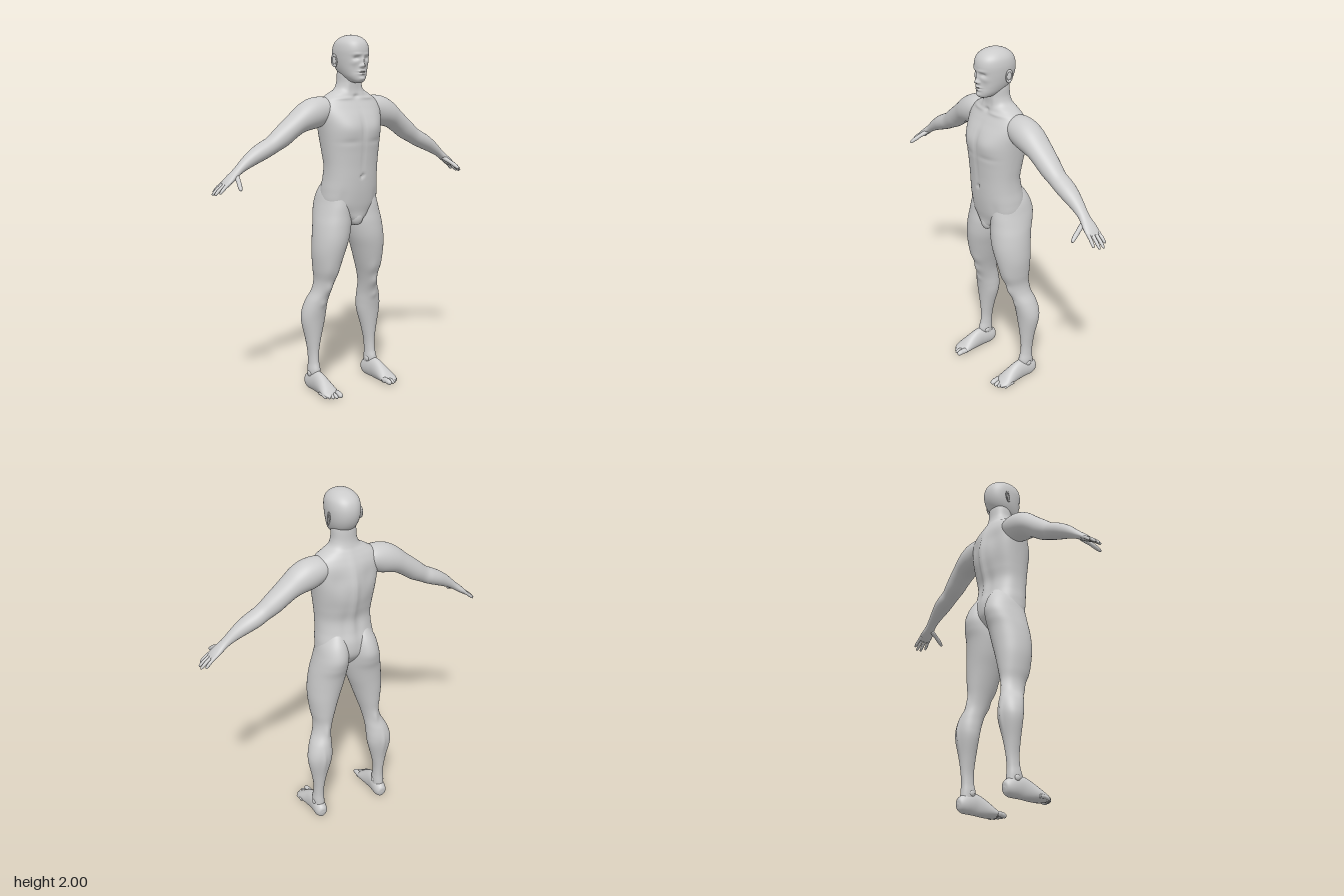
import * as THREE from 'three';

const material = new THREE.MeshStandardMaterial({ color: 0xcccccc });
const X = new THREE.Vector3(1, 0, 0), Z = new THREE.Vector3(0, 0, 1);

// Catmull-Rom interpolation of whole rows, t in 0..1
function sample(rows, t) {
  const n = rows.length - 1, f = Math.min(Math.max(t, 0), 1) * n;
  const i = Math.min(Math.floor(f), n - 1), u = f - i;
  const a = rows[Math.max(i - 1, 0)], b = rows[i], c = rows[i + 1], d = rows[Math.min(i + 2, n)];
  return b.map((_, k) => b[k] + 0.5 * u * (c[k] - a[k]
    + u * (2 * a[k] - 5 * b[k] + 4 * c[k] - d[k] + u * (3 * (b[k] - c[k]) + d[k] - a[k]))));
}

// Closed skin over rings; place(row, cos, sin, t) returns a point. Faces are turned outward.
function skin(name, rows, rings, seg, place) {
  const pos = [], idx = [];
  for (let i = 0; i <= rings; i++) {
    const t = i / rings, row = sample(rows, t);
    for (let j = 0; j < seg; j++) {
      const a = j / seg * Math.PI * 2;
      pos.push(...place(row, Math.cos(a), Math.sin(a), t));
    }
  }
  for (const start of [0, rings * seg]) {
    const mid = [0, 0, 0];
    for (let j = 0; j < seg; j++) for (let k = 0; k < 3; k++) mid[k] += pos[(start + j) * 3 + k] / seg;
    pos.push(...mid);
  }
  const first = (rings + 1) * seg;
  for (let j = 0; j < seg; j++) {
    const k = (j + 1) % seg;
    for (let i = 0; i < rings; i++) {
      const p = i * seg, q = p + seg;
      idx.push(p + j, q + j, p + k, p + k, q + j, q + k);
    }
    idx.push(first, j, k, first + 1, rings * seg + k, rings * seg + j);
  }
  const at = i => new THREE.Vector3().fromArray(pos, i * 3);
  let volume = 0;
  for (let i = 0; i < idx.length; i += 3) volume += at(idx[i]).dot(at(idx[i + 1]).cross(at(idx[i + 2])));
  if (volume < 0) idx.reverse();
  const geo = new THREE.BufferGeometry();
  geo.setAttribute('position', new THREE.Float32BufferAttribute(pos, 3));
  geo.setIndex(idx);
  geo.computeVertexNormals();
  const mesh = new THREE.Mesh(geo, material);
  mesh.name = name;
  return mesh;
}

// Upright form, rows [y, centreX, halfWidth, zFront, zBack]; bumps [x, y, sizeX, sizeY, push]
function upright(name, rows, rings, seg, { side = 1, power = 1, front = [], back = [] } = {}) {
  const round = v => Math.sign(v) * Math.abs(v) ** power;
  return skin(name, rows, rings, seg, ([y, cx, w, zf, zb], c, s) => {
    const x = cx + w * round(c);
    let z = (zf + zb) / 2 + (zf - zb) / 2 * round(s);
    for (const [bx, by, sx, sy, push] of s > 0 ? front : back) {
      const dx = (Math.abs(x) - bx) / sx, dy = (y - by) / sy;
      z += push * s * Math.exp(-dx * dx - dy * dy);
    }
    return [x * side, y, z];
  });
}

// Form along a path, rows [x, y, z, thickness, breadth]; breadth runs along axis
function limb(name, rows, rings, seg, side, axis) {
  return skin(name, rows, rings, seg, (row, c, s, t) => {
    const p = new THREE.Vector3(...row), a = sample(rows, t - 0.01), b = sample(rows, t + 0.01);
    const dir = new THREE.Vector3(b[0] - a[0], b[1] - a[1], b[2] - a[2]).normalize();
    const across = axis.clone().addScaledVector(dir, -axis.dot(dir)).normalize();
    const up = new THREE.Vector3().crossVectors(across, dir);
    p.addScaledVector(up, row[3] * c).addScaledVector(across, row[4] * s);
    return [p.x * side, Math.max(p.y, 0), p.z];
  });
}

// Finger or toe: rounded, slightly knuckled
function digit(name, from, to, r, side, axis, arch = 0) {
  const shape = [[0, 1], [0.25, 1.05], [0.45, 0.92], [0.62, 0.98], [0.82, 0.85], [0.95, 0.6], [1, 0.08]];
  const rows = shape.map(([t, k]) => [...from.map((v, i) =>
    v + (to[i] - v) * t + (i === 1 ? arch * Math.sin(t * Math.PI) : 0)), r * k, r * k]);
  return limb(name, rows, 18, 14, side, axis);
}

function ball(name, x, y, z, sx, sy, sz) {
  const mesh = new THREE.Mesh(new THREE.SphereGeometry(1, 28, 20), material);
  mesh.position.set(x, y, z);
  mesh.scale.set(sx, sy, sz);
  mesh.name = name;
  return mesh;
}

function buildHead() {
  const head = new THREE.Group();
  head.name = 'head';
  head.add(upright('skull', [
    [1.742, 0, 0.012, 0.098, 0.05], [1.752, 0, 0.036, 0.112, 0.01], [1.775, 0, 0.057, 0.117, -0.035],
    [1.805, 0, 0.071, 0.118, -0.072], [1.84, 0, 0.081, 0.117, -0.094], [1.88, 0, 0.087, 0.121, -0.105],
    [1.92, 0, 0.088, 0.123, -0.104], [1.955, 0, 0.08, 0.113, -0.09], [1.98, 0, 0.06, 0.088, -0.062],
    [1.995, 0, 0.032, 0.052, -0.025], [2, 0, 0.003, 0.015, 0.008],
  ], 110, 112, {
    power: 0.92,
    front: [
      [0, 1.836, 0.011, 0.011, 0.02], [0, 1.858, 0.009, 0.022, 0.011], [0.013, 1.832, 0.006, 0.006, 0.007],
      [0.034, 1.876, 0.017, 0.011, -0.012], [0.03, 1.896, 0.026, 0.008, 0.004], [0.05, 1.85, 0.018, 0.014, 0.004],
      [0, 1.806, 0.02, 0.005, 0.01], [0, 1.791, 0.018, 0.006, 0.009], [0, 1.799, 0.024, 0.0025, -0.004],
      [0, 1.765, 0.02, 0.011, 0.008], [0.042, 1.81, 0.014, 0.025, -0.004],
    ],
  }));
  for (const side of [-1, 1]) {
    head.add(ball('eye', side * 0.033, 1.875, 0.09, 0.012, 0.008, 0.012));
    const ear = new THREE.Group();
    ear.name = 'ear';
    const rim = new THREE.Mesh(new THREE.TorusGeometry(0.02, 0.005, 10, 32), material);
    rim.scale.set(0.8, 1.45, 1);
    rim.name = 'earRim';
    ear.add(rim, ball('earBowl', 0, 0, -0.004, 0.016, 0.028, 0.005), ball('earLobe', 0.004, -0.027, 0, 0.009, 0.01, 0.006));
    ear.position.set(side * 0.092, 1.862, -0.016);
    ear.rotation.set(-0.12, side * (Math.PI / 2 - 0.35), 0);
    head.add(ear);
  }
  return head;
}

function buildTorso() {
  return upright('torso', [
    [0.95, 0, 0.012, 0.05, 0.0], [0.965, 0, 0.035, 0.08, -0.03], [0.99, 0, 0.06, 0.092, -0.06],
    [1.03, 0, 0.12, 0.096, -0.1], [1.08, 0, 0.166, 0.106, -0.132], [1.15, 0, 0.168, 0.116, -0.135],
    [1.22, 0, 0.161, 0.122, -0.118], [1.29, 0, 0.16, 0.126, -0.108], [1.36, 0, 0.167, 0.132, -0.122],
    [1.43, 0, 0.176, 0.138, -0.137], [1.5, 0, 0.186, 0.135, -0.143], [1.56, 0, 0.195, 0.118, -0.135],
    [1.61, 0, 0.197, 0.092, -0.122], [1.65, 0, 0.175, 0.07, -0.105], [1.68, 0, 0.13, 0.06, -0.09],
    [1.705, 0, 0.087, 0.055, -0.078], [1.74, 0, 0.07, 0.055, -0.07], [1.79, 0, 0.066, 0.058, -0.068],
    [1.83, 0, 0.06, 0.05, -0.065],
  ], 130, 96, {
    power: 0.9,
    front: [
      [0.085, 1.5, 0.07, 0.06, 0.013], [0.09, 1.425, 0.06, 0.014, -0.004], [0, 1.5, 0.012, 0.08, -0.005],
      [0, 1.235, 0.009, 0.01, -0.014], [0, 1.34, 0.01, 0.09, -0.004], [0.085, 1.66, 0.06, 0.009, 0.006],
      [0, 1.668, 0.017, 0.012, -0.01], [0.11, 1.1, 0.02, 0.05, -0.005], [0.045, 1.72, 0.014, 0.04, 0.004],
    ],
    back: [
      [0, 1.4, 0.02, 0.2, 0.014], [0.09, 1.53, 0.05, 0.07, -0.013],
      [0.045, 1.25, 0.025, 0.08, -0.005], [0.11, 1.4, 0.04, 0.07, -0.005],
    ],
  });
}

function buildLeg(side) {
  const leg = new THREE.Group();
  leg.name = side > 0 ? 'leftLeg' : 'rightLeg';
  leg.add(upright('thighAndCalf', [
    [0.05, 0.204, 0.03, -0.035, -0.115], [0.11, 0.204, 0.033, -0.022, -0.114], [0.16, 0.203, 0.029, -0.034, -0.112],
    [0.22, 0.202, 0.031, -0.038, -0.115], [0.3, 0.2, 0.046, -0.033, -0.126], [0.4, 0.197, 0.07, -0.023, -0.145],
    [0.46, 0.193, 0.072, -0.013, -0.148], [0.52, 0.183, 0.063, 0.0, -0.136], [0.58, 0.165, 0.051, 0.018, -0.114],
    [0.64, 0.153, 0.053, 0.038, -0.108], [0.71, 0.147, 0.069, 0.066, -0.114], [0.8, 0.137, 0.088, 0.088, -0.122],
    [0.88, 0.122, 0.1, 0.1, -0.13], [0.96, 0.108, 0.103, 0.1, -0.142], [1.02, 0.1, 0.097, 0.095, -0.16],
    [1.08, 0.093, 0.088, 0.09, -0.168], [1.15, 0.085, 0.076, 0.075, -0.146], [1.22, 0.075, 0.045, 0.04, -0.1],
  ], 110, 56, {
    side,
    front: [
      [0.16, 0.6, 0.026, 0.032, 0.01], [0.12, 0.68, 0.025, 0.04, 0.006], [0.19, 0.7, 0.025, 0.06, 0.005],
      [0.18, 0.51, 0.02, 0.02, 0.005],
    ],
    back: [[0.196, 0.42, 0.01, 0.07, 0.007], [0.16, 0.6, 0.016, 0.04, 0.007], [0.205, 0.14, 0.02, 0.06, -0.004]],
  }));
  leg.add(ball('innerAnkle', side * 0.178, 0.105, -0.062, 0.012, 0.018, 0.018));
  leg.add(ball('outerAnkle', side * 0.231, 0.095, -0.07, 0.012, 0.018, 0.018));
  // foot runs heel to ball, flattened on the ground
  leg.add(limb('foot', [
    [0.204, 0.032, -0.132, 0.012, 0.01], [0.204, 0.034, -0.124, 0.034, 0.027], [0.204, 0.042, -0.1, 0.05, 0.037],
    [0.204, 0.052, -0.06, 0.06, 0.038], [0.205, 0.052, -0.02, 0.062, 0.037], [0.206, 0.042, 0.025, 0.053, 0.041],
    [0.208, 0.03, 0.07, 0.038, 0.048], [0.209, 0.022, 0.1, 0.025, 0.051], [0.208, 0.018, 0.12, 0.017, 0.044],
    [0.205, 0.016, 0.13, 0.008, 0.03],
  ], 48, 40, side, X));
  for (let i = 0; i < 5; i++) {
    const x = [0.174, 0.2, 0.219, 0.236, 0.251][i], tip = [0.166, 0.162, 0.153, 0.14, 0.124][i];
    const r = [0.016, 0.0115, 0.011, 0.0105, 0.01][i];
    leg.add(digit('toe', [x, 0.018, tip - 0.065], [x + 0.002, r * 0.7, tip], r, side, X, 0.006));
  }
  return leg;
}

function buildArm(side) {
  const arm = new THREE.Group();
  arm.name = side > 0 ? 'leftArm' : 'rightArm';
  arm.add(limb('armAndPalm', [
    [0.1, 1.605, -0.025, 0.045, 0.06], [0.16, 1.598, -0.026, 0.072, 0.076], [0.22, 1.582, -0.027, 0.083, 0.082],
    [0.275, 1.562, -0.028, 0.076, 0.08], [0.33, 1.532, -0.03, 0.062, 0.072], [0.38, 1.497, -0.031, 0.057, 0.066],
    [0.43, 1.46, -0.031, 0.055, 0.06], [0.485, 1.425, -0.031, 0.047, 0.052], [0.53, 1.402, -0.033, 0.046, 0.053],
    [0.58, 1.378, -0.032, 0.043, 0.049], [0.635, 1.347, -0.03, 0.035, 0.039], [0.685, 1.313, -0.028, 0.025, 0.031],
    [0.715, 1.29, -0.026, 0.021, 0.032], [0.745, 1.267, -0.024, 0.019, 0.039], [0.772, 1.246, -0.023, 0.015, 0.041],
    [0.79, 1.232, -0.023, 0.009, 0.035],
  ], 90, 44, side, Z));
  const fingers = [
    [[0.765, 1.249, 0.006], [0.832, 1.196, 0.016]], [[0.77, 1.248, -0.013], [0.849, 1.187, -0.009]],
    [[0.77, 1.248, -0.033], [0.85, 1.186, -0.035]], [[0.764, 1.25, -0.052], [0.83, 1.197, -0.06]],
  ];
  for (const [from, to] of fingers) arm.add(digit('finger', from, to, 0.0095, side, Z, 0.004));
  arm.add(digit('thumb', [0.716, 1.277, -0.012], [0.752, 1.216, 0.092], 0.0125, side, X, 0.004));
  return arm;
}

export function createModel() {
  const figure = new THREE.Group();
  figure.name = 'figure';
  figure.add(buildHead(), buildTorso(), ball('groin', 0, 0.998, 0.066, 0.04, 0.045, 0.03));
  for (const side of [-1, 1]) figure.add(buildArm(side), buildLeg(side));
  return figure;
}
